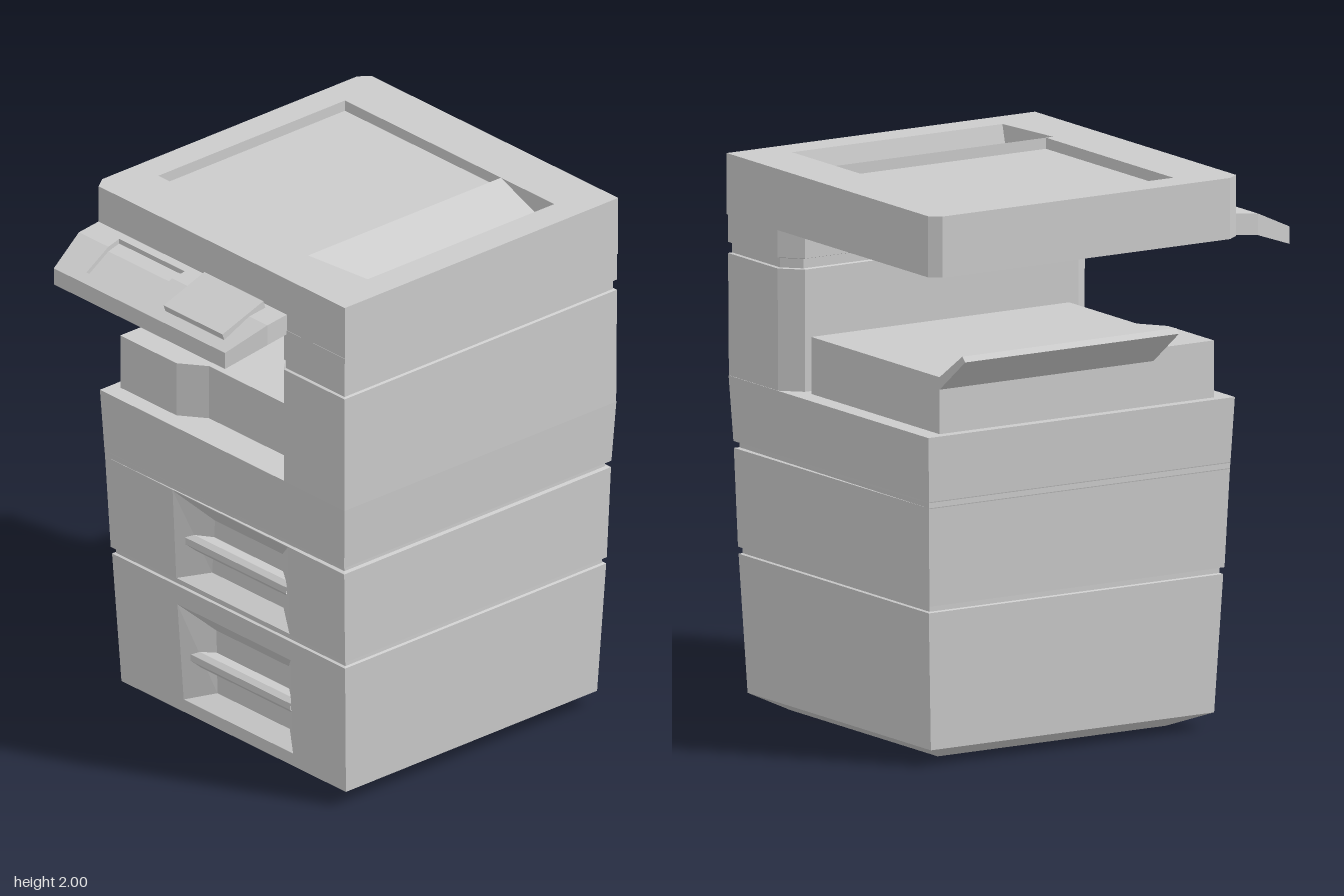
import * as THREE from 'three';

const grey = new THREE.MeshStandardMaterial({ color: 0xcccccc, flatShading: true });
const greyDouble = new THREE.MeshStandardMaterial({ color: 0xcccccc, flatShading: true, side: THREE.DoubleSide });
const lerp = THREE.MathUtils.lerp;

// Mesh from a list of polygons, each split as a fan
function polyMesh(name, polys, material = grey) {
  const pos = [];
  for (const p of polys)
    for (let i = 1; i < p.length - 1; i++) pos.push(...p[0], ...p[i], ...p[i + 1]);
  const g = new THREE.BufferGeometry();
  g.setAttribute('position', new THREE.Float32BufferAttribute(pos, 3));
  g.computeVertexNormals();
  const m = new THREE.Mesh(g, material);
  m.name = name;
  return m;
}

// Loft through rings of equal point count; skipSide(ring, side) leaves openings
function loft(name, rings, { startCap = true, endCap = true, skipSide = () => false } = {}) {
  const polys = [];
  for (let r = 0; r < rings.length - 1; r++) {
    const a = rings[r], b = rings[r + 1], n = a.length;
    for (let i = 0; i < n; i++) {
      const j = (i + 1) % n;
      if (!skipSide(r, i)) polys.push([a[i], a[j], b[j], b[i]]);
    }
  }
  if (startCap) polys.push([...rings[0]].reverse());
  if (endCap) polys.push(rings[rings.length - 1]);
  return polyMesh(name, polys);
}

// Horizontal rectangle; side 0 is the front
const rect = (y, x0, x1, z0, z1) => [[x0, y, z1], [x1, y, z1], [x1, y, z0], [x0, y, z0]];

// Slab with its outline drawn in x/z, extruded upward from y0 to y1
function slab(name, outline, y0, y1, hole) {
  const toV = ([x, z]) => new THREE.Vector2(x, -z);
  const s = new THREE.Shape(outline.map(toV));
  if (hole) s.holes.push(new THREE.Path(hole.map(toV)));
  const g = new THREE.ExtrudeGeometry(s, { depth: y1 - y0, bevelEnabled: false });
  g.rotateX(-Math.PI / 2).translate(0, y0, 0);
  const m = new THREE.Mesh(g, grey);
  m.name = name;
  return m;
}

// Cabinet: tapered sections, thin grooves between them, open front where drawers go
function cabinet() {
  const group = new THREE.Group();
  group.name = 'cabinet';
  const sec = [
    rect(0, -0.38, 0.57, -0.6, 0.36),
    rect(0.06, -0.52, 0.66, -0.72, 0.472),
    rect(0.56, -0.545, 0.68, -0.745, 0.494),
    rect(0.563, -0.535, 0.67, -0.735, 0.484),
    rect(0.582, -0.535, 0.67, -0.735, 0.484),
    rect(0.585, -0.55, 0.682, -0.746, 0.496),
    rect(0.94, -0.565, 0.692, -0.757, 0.509),
    // this groove fades out toward the right-hand side
    [[-0.566, 0.943, 0.509], [0.677, 0.943, 0.494], [0.677, 0.943, -0.742], [-0.566, 0.943, -0.757]],
    [[-0.566, 0.962, 0.51], [0.677, 0.962, 0.494], [0.677, 0.962, -0.742], [-0.566, 0.962, -0.758]],
    rect(0.965, -0.567, 0.693, -0.758, 0.51),
    rect(1.2, -0.58, 0.706, -0.77, 0.52),
  ];
  group.add(loft('cabinetShell', sec, { skipSide: (r, i) => i === 0 && (r === 1 || r === 5) }));

  // Drawer fronts: [lower section index, hole corners, recess back corners, handle base]
  const drawers = [
    [1, [[-0.19, 0.11], [0.385, 0.11], [0.39, 0.485], [-0.205, 0.485]],
      [[-0.095, 0.145], [0.285, 0.145], [0.28, 0.39], [-0.1, 0.39]], 0.24],
    [5, [[-0.205, 0.59], [0.39, 0.59], [0.395, 0.937], [-0.21, 0.937]],
      [[-0.1, 0.625], [0.275, 0.625], [0.27, 0.835], [-0.085, 0.835]], 0.705],
  ];
  for (const [s, hole, back, hy] of drawers) {
    const [a, b] = [sec[s], sec[s + 1]];
    const faceZ = (y) => lerp(a[0][2], b[0][2], (y - a[0][1]) / (b[0][1] - a[0][1]));
    const zBack = faceZ(hy) - 0.08;
    group.add(loft('drawerFront', [
      [a[0], a[1], b[1], b[0]],
      hole.map(([x, y]) => [x, y, faceZ(y)]),
      back.map(([x, y]) => [x, y, zBack]),
    ], { startCap: false }));
    // Handle bar with bevelled top and bottom, narrowing into the recess
    const level = (dy, zFront) => [[-0.175, hy + dy, zBack + zFront], [0.355, hy + dy, zBack + zFront],
      [0.275, hy + dy, zBack - 0.005], [-0.09, hy + dy, zBack - 0.005]];
    group.add(loft('drawerHandle', [level(0, 0.035), level(0.025, 0.06), level(0.05, 0.06), level(0.063, 0.04)]));
  }
  return group;
}

// Column carrying the scanner, chamfered on its inner corners, with a groove
function column() {
  const ring = (y, d) => [[0.39, 0.523 - d], [0.709 - d, 0.523 - d], [0.709 - d, -0.77 + d],
    [0.39, -0.77 + d], [0.32 + d, -0.7], [0.32 + d, 0.45]].map(([x, z]) => [x, y, z]);
  return loft('column', [ring(1.2, 0.002), ring(1.64, 0), ring(1.643, 0.01), ring(1.677, 0.01),
    ring(1.68, 0), ring(1.8, 0)]);
}

// Scanner lid with a sunken platen and a sloping feed trench
function scannerLid() {
  const group = new THREE.Group();
  group.name = 'scannerLid';
  const outline = [[-0.585, 0.522], [0.71, 0.522], [0.71, -0.775], [-0.585, -0.775], [-0.618, -0.735], [-0.618, 0.475]];
  const hole = [[-0.505, 0.31], [0.315, 0.31], [0.315, 0.34], [0.595, 0.34],
    [0.595, -0.6], [0.315, -0.6], [0.315, -0.575], [-0.505, -0.575]];
  group.add(slab('lidBase', outline, 1.78, 1.89), slab('lidFrame', outline, 1.89, 2, hole));
  const [xa, xb, xc, za, zb, zc, zd] = [0.315, 0.57, 0.595, -0.6, -0.575, 0.31, 0.34];
  const [yt, yf] = [2, 1.9];
  group.add(polyMesh('platen', [
    rect(1.96, -0.505, xa, zb, zc),
    [[xa, 1.96, zb], [xa, 1.96, zc], [xa, yt, zc], [xa, yt, zb]],
  ], greyDouble));
  group.add(polyMesh('feedTrench', [
    [[xa, yt, zc], [xb, yf, zc], [xb, yf, zb], [xa, yt, zb]],
    [[xb, yf, zc], [xc, yt, zc], [xc, yt, zb], [xb, yf, zb]],
    [[xa, yt, zd], [xc, yt, zd], [xc, yt, zc], [xb, yf, zc], [xa, yt, zc]],
    [[xa, yt, zb], [xb, yf, zb], [xc, yt, zb], [xc, yt, za], [xa, yt, za]],
  ], greyDouble));
  return group;
}

// Overhanging control panel with an inset key field and a raised screen
function controlPanel() {
  const group = new THREE.Group();
  group.name = 'controlPanel';
  // Rows from back to front: z, left x, right x, top y, bottom y
  const mid = [0.615, -0.585, 0.405, 1.85, 1.772], end = [0.775, -0.54, 0.36, 1.778, 1.715];
  const back = [0.515, -0.585, 0.405, 1.862, 1.785];
  const mix = (a, b, t) => a.map((v, i) => lerp(v, b[i], t));
  const rows = [back, mix(back, mid, 0.4), mid, mix(mid, end, 0.75), end];
  const keyLeft = [-0.44, -0.44, -0.43, -0.412, -0.41], keyRight = -0.095, drop = 0.018;
  const polys = [], inset = [];
  for (let r = 0; r < rows.length - 1; r++) {
    const [p, q] = [rows[r], rows[r + 1]];
    const xp = [p[1], keyLeft[r], keyRight, p[2]], xq = [q[1], keyLeft[r + 1], keyRight, q[2]];
    const top = (c, d = 0) => [[xp[c], p[3] - d, p[0]], [xq[c], q[3] - d, q[0]],
      [xq[c + 1], q[3] - d, q[0]], [xp[c + 1], p[3] - d, p[0]]];
    for (let c = 0; c < 3; c++) {
      if (c !== 1 || r === 0 || r === 3) { polys.push(top(c)); continue; }
      const u = top(c), l = top(c, drop);
      inset.push(l, [u[0], u[1], l[1], l[0]], [u[2], u[3], l[3], l[2]]);
      inset.push(r === 1 ? [u[3], u[0], l[0], l[3]] : [u[1], u[2], l[2], l[1]]);
    }
    const [pl, ql] = [[p[1], p[4], p[0]], [q[1], q[4], q[0]]];
    const [pr, qr] = [[p[2], p[4], p[0]], [q[2], q[4], q[0]]];
    polys.push([pl, pr, qr, ql]);
    polys.push([pl, ql, [q[1], q[3], q[0]], [p[1], p[3], p[0]]]);
    polys.push([qr, pr, [p[2], p[3], p[0]], [q[2], q[3], q[0]]]);
  }
  const [z, x0, x1, y1, y0] = end;
  polys.push([[x0, y0, z], [x1, y0, z], [x1, y1, z], [x0, y1, z]]);
  group.add(polyMesh('panelBody', polys), polyMesh('keyInset', inset, greyDouble));
  const screen = new THREE.Mesh(new THREE.BoxGeometry(0.31, 0.035, 0.205), grey);
  screen.name = 'screen';
  screen.position.set(0.155, 1.838, 0.639);
  screen.rotation.x = 0.33;
  group.add(screen);
  return group;
}

// Output tray block with a stepped front, and its slanted extension flap
function outputTray() {
  const group = new THREE.Group();
  group.name = 'outputTray';
  group.add(slab('trayBlock', [[-0.545, 0.455], [-0.25, 0.455], [-0.155, 0.385], [0.28, 0.385],
    [0.28, -0.7], [-0.545, -0.7]], 1.2, 1.405));
  const profile = [[-0.545, 1.36], [-0.545, 1.405], [-0.692, 1.505], [-0.71, 1.487]];
  const g = new THREE.ExtrudeGeometry(new THREE.Shape(profile.map(([x, y]) => new THREE.Vector2(x, y))),
    { depth: 0.9, bevelEnabled: false });
  const flap = new THREE.Mesh(g.translate(0, 0, -0.7), grey);
  flap.name = 'trayFlap';
  group.add(flap);
  return group;
}

export function createModel() {
  const model = new THREE.Group();
  model.name = 'photocopier';
  model.add(cabinet(), column(), scannerLid(), controlPanel(), outputTray());
  return model;
}
